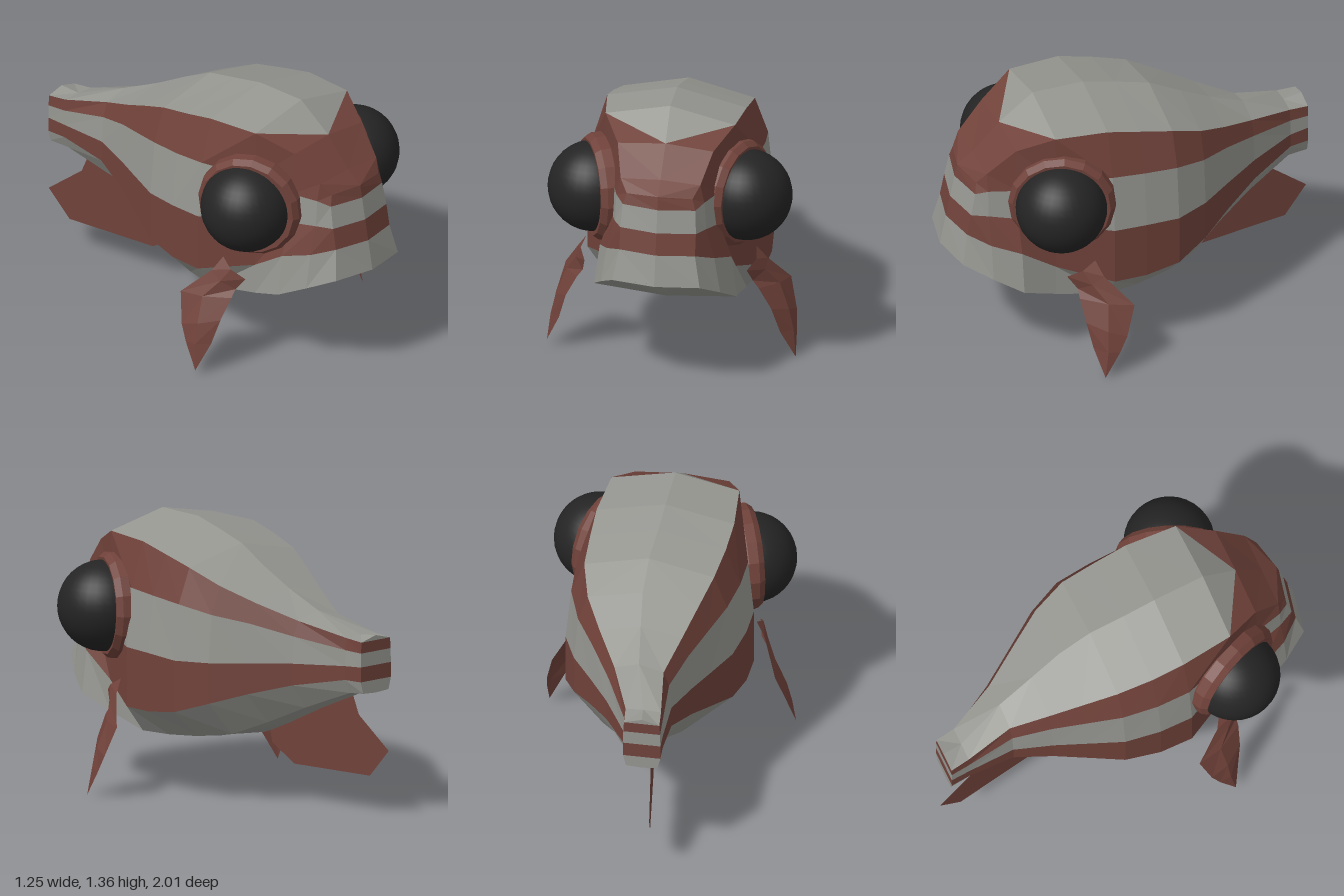
import * as THREE from 'three';

// Body stations, tail to nose: z, centre x, side half-width, shoulder half-width, belly half-width,
// then heights: top, shoulder, three stripe edges, belly corner, keel
const STATIONS = [
  [-0.96, -0.22, 0.095, 0.09, 0.08, 0.925, 0.9, 0.845, 0.775, 0.7, 0.64, 0.635],
  [-0.86, -0.2, 0.1, 0.09, 0.07, 0.915, 0.91, 0.85, 0.77, 0.7, 0.63, 0.62],
  [-0.62, -0.11, 0.165, 0.125, 0.08, 1.01, 0.975, 0.9, 0.765, 0.655, 0.53, 0.51],
  [-0.43, -0.065, 0.26, 0.21, 0.13, 1.1, 1.055, 0.955, 0.755, 0.6, 0.44, 0.42],
  [-0.27, -0.03, 0.35, 0.28, 0.2, 1.19, 1.13, 0.99, 0.75, 0.545, 0.37, 0.35],
  [-0.1, -0.015, 0.425, 0.33, 0.27, 1.28, 1.205, 1.03, 0.75, 0.49, 0.345, 0.32],
  [0.08, -0.01, 0.45, 0.345, 0.32, 1.325, 1.25, 1.05, 0.765, 0.47, 0.335, 0.28],
  [0.25, 0, 0.45, 0.35, 0.35, 1.365, 1.29, 1.065, 0.77, 0.47, 0.335, 0.26],
  [0.52, 0.025, 0.33, 0.325, 0.33, 1.37, 1.3, 1.05, 0.8, 0.55, 0.39, 0.36],
  [0.7, 0.04, 0.27, 0.24, 0.36, 1.24, 1.22, 1.0, 0.84, 0.67, 0.46, 0.43],
  [0.84, 0.045, 0.23, 0.2, 0.3, 1.1, 1.09, 1.0, 0.86, 0.71, 0.53, 0.5],
  [0.94, 0.05, 0.19, 0.165, 0.22, 1.04, 1.03, 0.975, 0.86, 0.75, 0.595, 0.61],
];
const BROW = 8; // station where the pale back ends in a point

function flatMesh(name, positions, material) {
  const g = new THREE.BufferGeometry();
  g.setAttribute('position', new THREE.Float32BufferAttribute(positions, 3));
  g.computeVertexNormals();
  const mesh = new THREE.Mesh(g, material);
  mesh.name = name;
  return mesh;
}

// Twelve points around one station, clockwise as seen from the nose
function makeRing(row, index) {
  const [z, cx, w, shoulder, belly, ...y] = row;
  const half = [0, shoulder, 0.3 * shoulder + 0.7 * w, w, Math.max(w, belly - 0.03), belly, 0];
  const nose = index === STATIONS.length - 1;
  return Array.from({ length: 12 }, (_, i) => {
    const k = i <= 6 ? i : 12 - i;
    const dx = i <= 6 ? half[k] : -half[k];
    const push = nose ? 0.2 * (0.75 - y[k]) + (dx === 0 ? 0.04 : 0) : 0;
    return [cx + dx, y[k] - 0.035 * dx, z + push - 0.05 * dx];
  });
}

function makeBody(grey, red) {
  const rings = STATIONS.map(makeRing);
  const faces = { grey: [], red: [] };
  const tri = (colour, a, b, c) => faces[colour].push(...a, ...b, ...c);
  const bands = ['grey', 'red', 'grey', 'red', 'grey', 'grey'];

  // Striped skin
  for (let r = 0; r < rings.length - 1; r++) {
    for (let i = 0; i < 12; i++) {
      const j = (i + 1) % 12;
      const band = i < 6 ? i : 11 - i;
      const a = rings[r][i], b = rings[r + 1][i], c = rings[r + 1][j], d = rings[r][j];
      const inner = band === 0 && r > BROW ? 'red' : bands[band];
      const outer = band === 0 && r >= BROW ? 'red' : bands[band];
      if (i < 6) {
        tri(inner, a, b, d);
        tri(outer, b, c, d);
      } else {
        tri(outer, a, b, c);
        tri(inner, a, c, d);
      }
    }
  }

  // Striped end caps, built around a centre column
  const cap = (ring, push, front) => {
    const centre = (k) => k % 6 === 0 ? ring[k]
      : ring[k].map((v, n) => (v + ring[12 - k][n]) / 2 + (n === 2 ? push : 0));
    for (let k = 0; k < 6; k++) {
      const colour = front && k === 0 ? 'red' : bands[k];
      for (const side of [1, -1]) {
        const at = (m) => side > 0 ? ring[m] : ring[(12 - m) % 12];
        const q = [centre(k), centre(k + 1), at(k + 1), at(k)];
        if ((side > 0) !== front) q.reverse();
        tri(colour, q[0], q[1], q[2]);
        tri(colour, q[0], q[2], q[3]);
      }
    }
  };
  cap(rings[rings.length - 1], 0.04, true);
  cap(rings[0], 0, false);

  const body = new THREE.Group();
  body.name = 'body';
  body.add(flatMesh('paleBody', faces.grey, grey), flatMesh('redStripes', faces.red, red));
  return body;
}

// Bulging eye in a bevelled rim
function makeEye(name, rimAt, outward, ballAt, black, red) {
  const eye = new THREE.Group();
  eye.name = name;
  const profile = [[0.25, -0.1], [0.27, -0.03], [0.268, 0.02], [0.245, 0.05], [0.2, 0.045]]
    .map(([r, h]) => new THREE.Vector2(r, h));
  const g = new THREE.LatheGeometry(profile, 16).toNonIndexed();
  g.computeVertexNormals();
  const rim = new THREE.Mesh(g, red);
  rim.name = 'eyeRim';
  rim.position.set(...rimAt);
  rim.quaternion.setFromUnitVectors(new THREE.Vector3(0, 1, 0), new THREE.Vector3(...outward).normalize());
  const ball = new THREE.Mesh(new THREE.SphereGeometry(0.228, 32, 20), black);
  ball.name = 'eyeball';
  ball.position.set(...ballAt);
  eye.add(rim, ball);
  return eye;
}

// Folded side fin from a leading edge, a ridge and a trailing edge
function makeSideFin(name, side, dy, dz, red) {
  const lead = [[0.4, 0.5, 0.46], [0.42, 0.43, 0.41], [0.45, 0.39, 0.41], [0.51, 0.28, 0.395], [0.55, 0.15, 0.37], [0.62, 0.01, 0.33]];
  const trail = [[0.42, 0.58, 0.32], [0.47, 0.51, 0.29], [0.56, 0.37, 0.16], [0.6, 0.22, 0.21], [0.61, 0.14, 0.25], [0.62, 0.01, 0.33]];
  const ridge = lead.map((p, i) => p.map((v, n) => (v + trail[i][n]) / 2 + (n === 0 && i < 5 ? 0.025 : 0)));
  const out = [];
  const put = (...pts) => {
    if (side < 0) pts.reverse();
    for (const [x, y, z] of pts) out.push(side * x, y + dy, z + dz);
  };
  for (const [p, q] of [[lead, ridge], [ridge, trail]]) {
    for (let i = 0; i < 5; i++) {
      put(p[i], p[i + 1], q[i + 1]);
      if (i < 5) put(p[i], q[i + 1], q[i]);
    }
  }
  return flatMesh(name, out, red);
}

// Thin lower fin that follows the bend of the tail
function makeLowerFin(red) {
  const outline = [[-0.24, 0.38], [-0.26, 0.29], [-0.4, 0.2], [-0.88, 0.2], [-1, 0.34], [-0.81, 0.5], [-0.76, 0.63], [-0.5, 0.47]];
  const shape = new THREE.Shape(outline.map(([z, y]) => new THREE.Vector2(z, y)));
  const g = new THREE.ShapeGeometry(shape).toNonIndexed();
  const p = g.attributes.position;
  for (let i = 0; i < p.count; i++) {
    const z = p.getX(i);
    p.setXYZ(i, -0.025 + 0.245 * z, p.getY(i), z);
  }
  g.computeVertexNormals();
  const fin = new THREE.Mesh(g, red);
  fin.name = 'lowerFin';
  return fin;
}

export function createModel() {
  const grey = new THREE.MeshStandardMaterial({ color: 0x959690, flatShading: true });
  grey.name = 'pale grey';
  const red = new THREE.MeshStandardMaterial({ color: 0x70423a, flatShading: true, side: THREE.DoubleSide });
  red.name = 'rust red';
  const black = new THREE.MeshStandardMaterial({ color: 0x242424 });
  black.name = 'eye black';

  const fish = new THREE.Group();
  fish.name = 'fish';
  fish.add(
    makeBody(grey, red),
    makeEye('leftEye', [0.36, 0.92, 0.475], [0.94, 0, 0.33], [0.407, 0.92, 0.492], black, red),
    makeEye('rightEye', [-0.335, 0.92, 0.535], [-0.89, 0, 0.45], [-0.362, 0.92, 0.535], black, red),
    makeSideFin('leftSideFin', 1, 0, 0, red),
    makeSideFin('rightSideFin', -1, 0.03, 0.11, red),
    makeLowerFin(red),
  );
  return fish;
}
